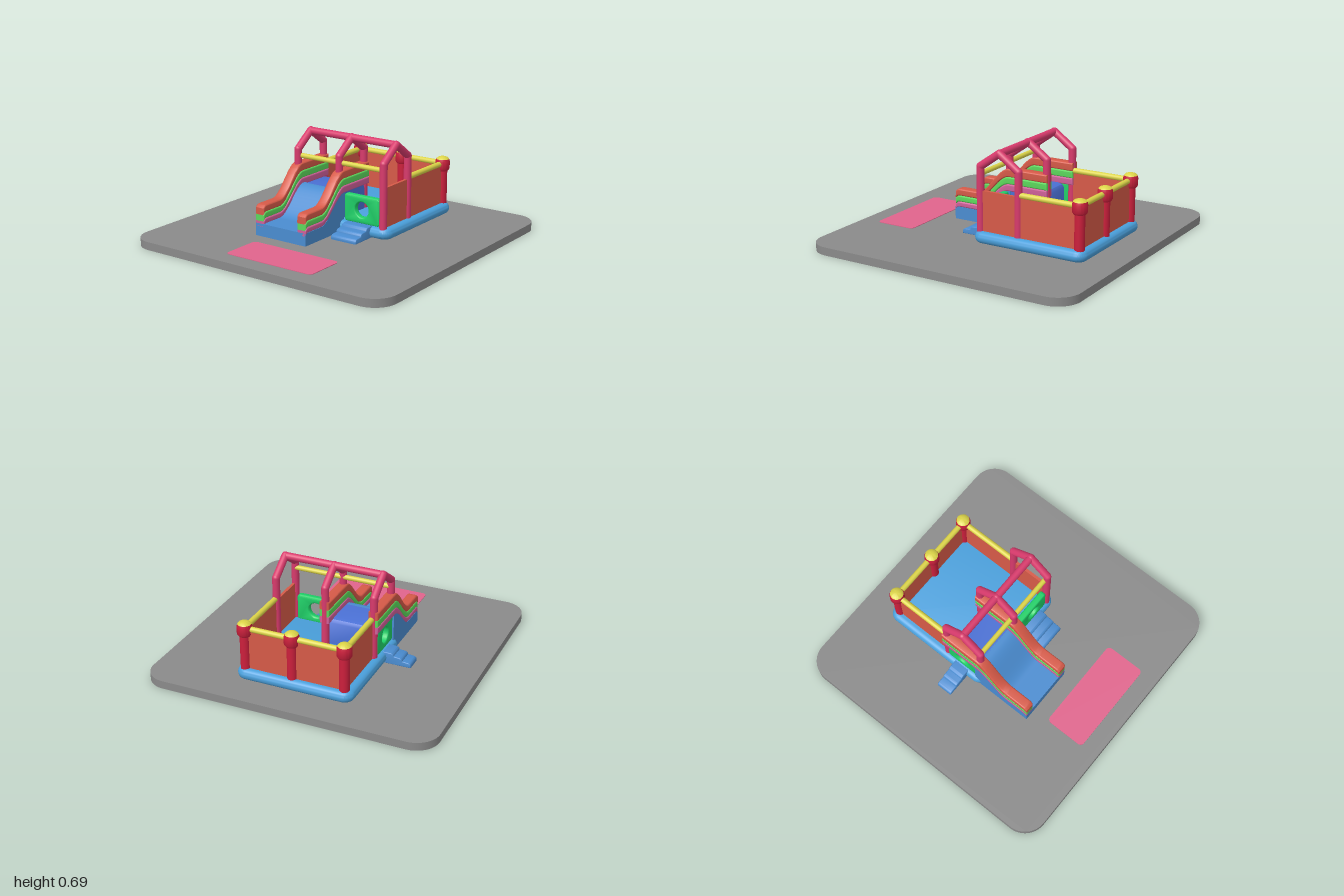
import * as THREE from 'three';
import { toCreasedNormals } from 'three/addons/utils/BufferGeometryUtils.js';

const C = {
  ground: 0x8a8a8a, mat: 0xe0648c, base: 0x4aa0dc, slide: 0x4a8cd0, deck: 0x4a70d4, orange: 0xd65a48,
  green: 0x5cd85c, panel: 0x1fd068, pink: 0xd0609a, arch: 0xd83a6c, red: 0xcc1f3c, yellow: 0xdcd448,
};
const V = (x, y, z) => new THREE.Vector3(x, y, z);

export function createModel() {
  const root = new THREE.Group();
  const mats = {};
  const add = (name, geo, color, parent = root) => {
    mats[color] ??= new THREE.MeshStandardMaterial({ color: C[color] });
    const m = new THREE.Mesh(geo, mats[color]);
    m.name = name;
    parent.add(m);
    return m;
  };

  // Rounded rectangle outline
  const roundRect = (x0, x1, y0, y1, r) => {
    const s = new THREE.Shape();
    s.absarc(x1 - r, y0 + r, r, -Math.PI / 2, 0);
    s.absarc(x1 - r, y1 - r, r, 0, Math.PI / 2);
    s.absarc(x0 + r, y1 - r, r, Math.PI / 2, Math.PI);
    s.absarc(x0 + r, y0 + r, r, Math.PI, Math.PI * 1.5);
    s.closePath();
    return s;
  };
  // Extrusion of exact total depth with an optional puffy edge
  const extrude = (shape, depth, bevel = 0) => {
    const g = new THREE.ExtrudeGeometry(shape, {
      depth: depth - 2 * bevel, curveSegments: 12, bevelEnabled: bevel > 0,
      bevelThickness: bevel, bevelSize: bevel, bevelOffset: -bevel, bevelSegments: 6,
    });
    g.translate(0, 0, bevel);
    return toCreasedNormals(g, 0.6);
  };
  // Horizontal slab lying between y0 and y1
  const slab = (x0, x1, z0, z1, r, y0, y1, bevel) =>
    extrude(roundRect(x0, x1, -z1, -z0, r), y1 - y0, bevel).rotateX(-Math.PI / 2).translate(0, y0, 0);
  // Side profile of [z, y] points, extruded from x0 to x1
  const profile = (pts, x0, x1, bevel) =>
    extrude(new THREE.Shape(pts.map(([z, y]) => new THREE.Vector2(-z, y))), x1 - x0, bevel)
      .rotateY(Math.PI / 2).translate(x0, 0, 0);
  // Round bar between two points
  const bar = (name, a, b, r, color, parent) => {
    const d = b.clone().sub(a);
    const m = add(name, new THREE.CylinderGeometry(r, r, d.length(), 20), color, parent);
    m.position.copy(a).add(b).multiplyScalar(0.5);
    m.quaternion.setFromUnitVectors(V(0, 1, 0), d.normalize());
  };
  const box = (name, x0, x1, y0, y1, z0, z1, color) =>
    add(name, new THREE.BoxGeometry(x1 - x0, y1 - y0, z1 - z0), color)
      .position.set((x0 + x1) / 2, (y0 + y1) / 2, (z0 + z1) / 2);

  // Ground and landing mat
  add('ground', slab(-1, 1, -0.975, 0.975, 0.16, 0, 0.055), 'ground');
  add('landingMat', slab(-0.28, 0.4, 0.56, 0.85, 0.03, 0.055, 0.059), 'mat');

  // Inflated base with its bouncing floor
  add('base', slab(-0.385, 0.43, -0.76, 0.065, 0.07, 0.055, 0.133, 0.037), 'base');
  add('bounceFloor', slab(-0.33, 0.38, -0.71, 0.02, 0.03, 0.1, 0.145, 0.015), 'base');

  // Enclosing walls
  const L = -0.32, R = 0.372, B = -0.705;
  box('backWall', L, R, 0.12, 0.405, B - 0.01, B + 0.01, 'orange');
  box('leftWall', L - 0.01, L + 0.01, 0.12, 0.405, B, -0.25, 'orange');
  box('rightWall', R - 0.01, R + 0.01, 0.12, 0.405, B, 0.03, 'orange');

  // Back posts with domed caps
  const cap = [[0, 0.365], [0.04, 0.365], [0.05, 0.38], [0.05, 0.43], [0.045, 0.447]];
  const top = [[0.045, 0.447], [0.035, 0.457], [0.018, 0.463], [0, 0.465]];
  const lathe = (pts) => toCreasedNormals(
    new THREE.LatheGeometry(pts.map(([r, y]) => new THREE.Vector2(r, y)), 28), 0.7);
  for (const x of [L, 0.04, R]) {
    const post = new THREE.Group();
    post.name = 'backPost';
    post.position.set(x, 0, B);
    root.add(post);
    bar('postColumn', V(0, 0.1, 0), V(0, 0.38, 0), 0.034, 'red', post);
    add('postCap', lathe(cap), 'red', post);
    add('postCapTop', lathe(top), 'yellow', post);
  }

  // Yellow rails
  bar('backRail', V(L, 0.415, B), V(R, 0.415, B), 0.019, 'yellow');
  for (const x of [L, R]) bar('sideRail', V(x, 0.415, B), V(x, 0.415, -0.26), 0.019, 'yellow');
  bar('frontRail', V(-0.33, 0.52, 0.018), V(0.37, 0.52, 0.018), 0.017, 'yellow');

  // Three gabled arches joined by a ridge bar
  for (const x of [-0.328, 0.015, 0.37]) {
    const arch = new THREE.Group();
    arch.name = 'arch';
    root.add(arch);
    const p = [V(x, 0.1, 0.026), V(x, 0.565, 0.026), V(x, 0.667, -0.117), V(x, 0.565, -0.26), V(x, 0.1, -0.26)];
    for (let i = 0; i < 4; i++) {
      bar('archTube', p[i], p[i + 1], 0.026, 'arch', arch);
      if (i) add('archJoint', new THREE.SphereGeometry(0.026, 20, 14), 'arch', arch).position.copy(p[i]);
    }
  }
  bar('ridgeBar', V(-0.328, 0.665, -0.117), V(0.37, 0.665, -0.117), 0.025, 'arch');

  // Slide: t runs from the low front (0) to the high deck (1)
  const rise = (z) => THREE.MathUtils.smoothstep(-z, -0.27, -0.015);
  const wallTop = (z) => 0.27 + 0.2 * rise(z) - 0.02 * Math.max(0, (z - 0.415) / 0.03) ** 2;
  const zs = Array.from({ length: 41 }, (_, i) => 0.445 - (i / 40) * 0.725);
  const edge = (lo, hi) => zs.map((z) => [z, wallTop(z) - lo - (hi - lo) * rise(z)]);
  const bands = [['orange', 0, 0.047, 0, 0.056], ['green', 0.047, 0.09, 0.056, 0.106], ['pink', 0.09, 0.128, 0.106, 0.155]];
  for (const x0 of [-0.365, -0.02]) {
    for (const [color, a, b, c, d] of bands) {
      const pts = [...edge(a, c), ...edge(b, d).reverse()];
      add('slideSideBand', profile(pts, x0, x0 + 0.07, 0.009), color);
    }
  }
  const bed = zs.filter((z) => z > 0.01).map((z) => [z, 0.142 + 0.188 * rise(z)]);
  add('slideBed', profile([...bed, [0, 0.33], [0, 0.055], [0.445, 0.055]], -0.363, 0.048), 'slide');
  add('slideDeck', profile([[0.01, 0.33], [-0.19, 0.33], [-0.215, 0.322], [-0.23, 0.3], [-0.235, 0.12], [0.01, 0.12]],
    -0.27, 0.04), 'deck');

  // Doorway panels with round holes
  const panel = (w, h, r) => {
    const s = roundRect(-w / 2, w / 2, -h / 2, h / 2, 0.02);
    s.holes.push(new THREE.Path().absarc(0, 0, r, 0, Math.PI * 2, true));
    return extrude(s, 0.045, 0.012).translate(0, 0, -0.0225);
  };
  add('frontDoorPanel', panel(0.28, 0.19, 0.053), 'panel').position.set(0.207, 0.23, 0.02);
  const sideDoor = add('sideDoorPanel', panel(0.25, 0.19, 0.053), 'panel');
  sideDoor.position.set(-0.33, 0.23, -0.118);
  sideDoor.rotation.y = -Math.PI / 2;

  // Puffy entry steps, descending along local +x
  const steps = (width) => {
    const s = new THREE.Shape();
    s.moveTo(0, 0);
    s.lineTo(0.195, 0);
    s.quadraticCurveTo(0.2, 0.032, 0.17, 0.034);
    s.lineTo(0.135, 0.036);
    s.quadraticCurveTo(0.132, 0.056, 0.11, 0.057);
    s.lineTo(0.075, 0.06);
    s.quadraticCurveTo(0.07, 0.08, 0.045, 0.08);
    s.lineTo(0, 0.08);
    return extrude(s, width, 0.005).translate(0, 0, -width / 2);
  };
  const frontSteps = add('frontSteps', steps(0.2), 'slide');
  frontSteps.position.set(0.19, 0.055, 0.03);
  frontSteps.rotation.y = -Math.PI / 2;
  const sideSteps = add('sideSteps', steps(0.115), 'slide');
  sideSteps.position.set(-0.36, 0.055, -0.12);
  sideSteps.rotation.y = Math.PI;

  return root;
}
